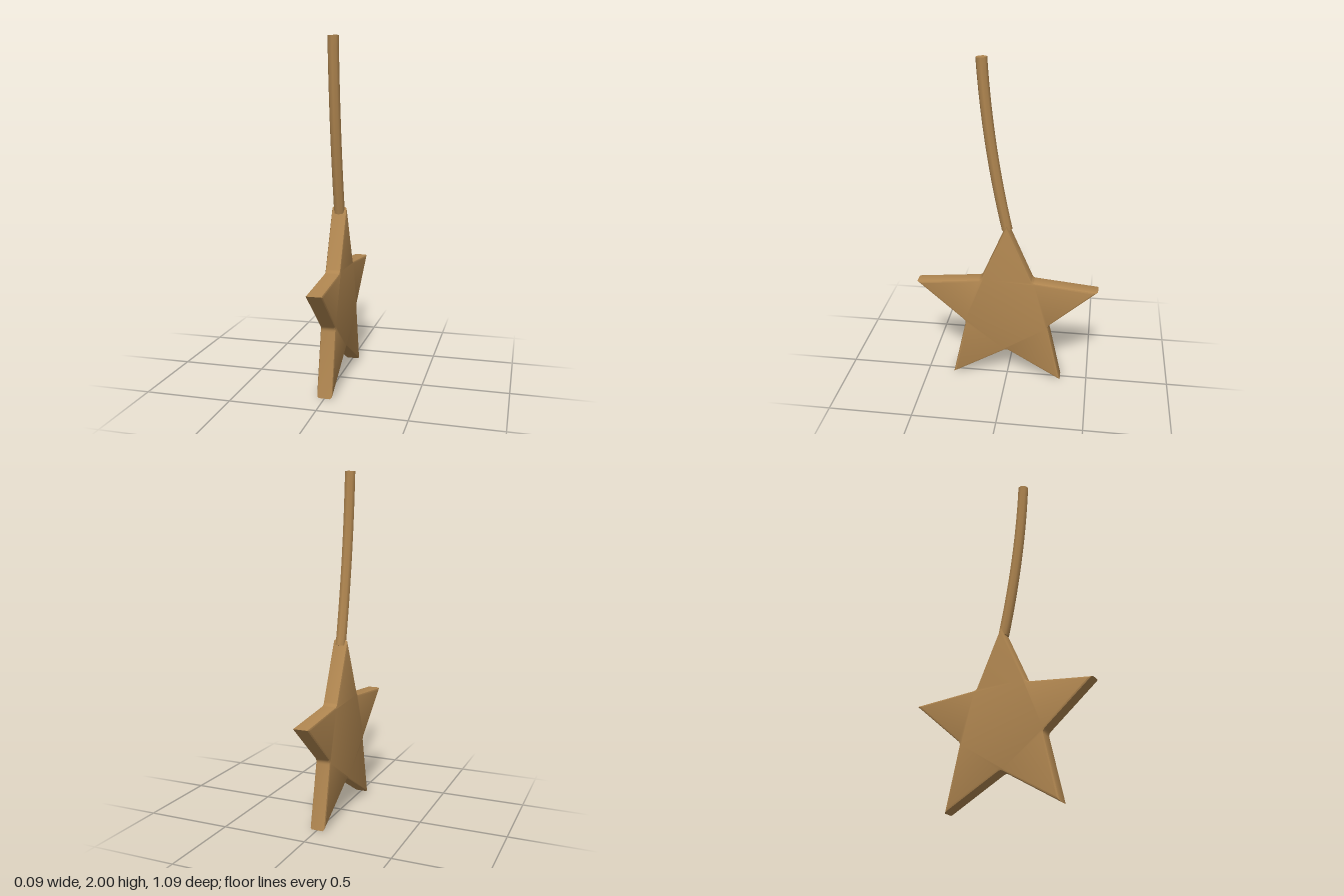
import * as THREE from 'three';
import { toCreasedNormals } from 'three/addons/utils/BufferGeometryUtils.js';

const TIP = 0.573, VALLEY = 0.265, CENTRE_Y = 0.464;
const APOTHEM = 0.233; // distance from the centre to each star edge

// Five-pointed outline with sharp tips and slightly rounded valleys
function starShape() {
  const at = (i) => {
    const a = Math.PI / 2 + (i * Math.PI) / 5;
    const r = i % 2 ? VALLEY : TIP;
    return new THREE.Vector2(r * Math.cos(a), r * Math.sin(a));
  };
  const shape = new THREE.Shape();
  for (let i = 0; i < 10; i += 2) {
    const tip = at(i), valley = at(i + 1), next = at(i + 2);
    if (i === 0) shape.moveTo(tip.x, tip.y);
    else shape.lineTo(tip.x, tip.y);
    const a = valley.clone().lerp(tip, 0.05), b = valley.clone().lerp(next, 0.05);
    shape.lineTo(a.x, a.y);
    shape.quadraticCurveTo(valley.x, valley.y, b.x, b.y);
  }
  shape.closePath();
  return shape;
}

// Straight slab whose layers are scaled in towards both faces to round the rim
function starGeometry() {
  const layers = [[-0.045, 0.012], [-0.0415, 0.0035], [-0.033, 0],
    [0.033, 0], [0.0415, 0.0035], [0.045, 0.012]]; // [offset, inset]
  const geo = new THREE.ExtrudeGeometry(starShape(), {
    depth: 5, steps: 5, bevelEnabled: false, curveSegments: 4,
  });
  const pos = geo.attributes.position;
  for (let i = 0; i < pos.count; i++) {
    const [z, inset] = layers[Math.round(pos.getZ(i))];
    const s = 1 - inset / APOTHEM;
    pos.setXYZ(i, pos.getX(i) * s, pos.getY(i) * s, z);
  }
  geo.rotateY(Math.PI / 2);
  geo.translate(0, CENTRE_Y, 0);
  return toCreasedNormals(geo, 0.6);
}

// Capped eight-sided rod bent along a gentle curve
function stemGeometry() {
  const curve = new THREE.QuadraticBezierCurve3(
    new THREE.Vector3(0, 1.003, 0),
    new THREE.Vector3(0, 1.5, 0.11),
    new THREE.Vector3(0, 1.998, 0.138),
  );
  const geo = new THREE.CylinderGeometry(0.032, 0.032, 1, 8, 16);
  const pos = geo.attributes.position;
  for (let i = 0; i < pos.count; i++) {
    const t = THREE.MathUtils.clamp(pos.getY(i) + 0.5, 0, 1);
    const p = curve.getPoint(t), d = curve.getTangent(t), side = pos.getZ(i);
    pos.setXYZ(i, pos.getX(i), p.y - d.z * side, p.z + d.y * side);
  }
  return toCreasedNormals(geo, 1);
}

export function createModel() {
  const wood = new THREE.MeshStandardMaterial({ color: 0xb08650 });
  wood.name = 'wood brown';

  const model = new THREE.Group();
  model.name = 'starOnStem';
  const add = (name, geometry) => {
    const mesh = new THREE.Mesh(geometry, wood);
    mesh.name = name;
    model.add(mesh);
  };
  add('star', starGeometry());
  add('stem', stemGeometry());
  return model;
}
